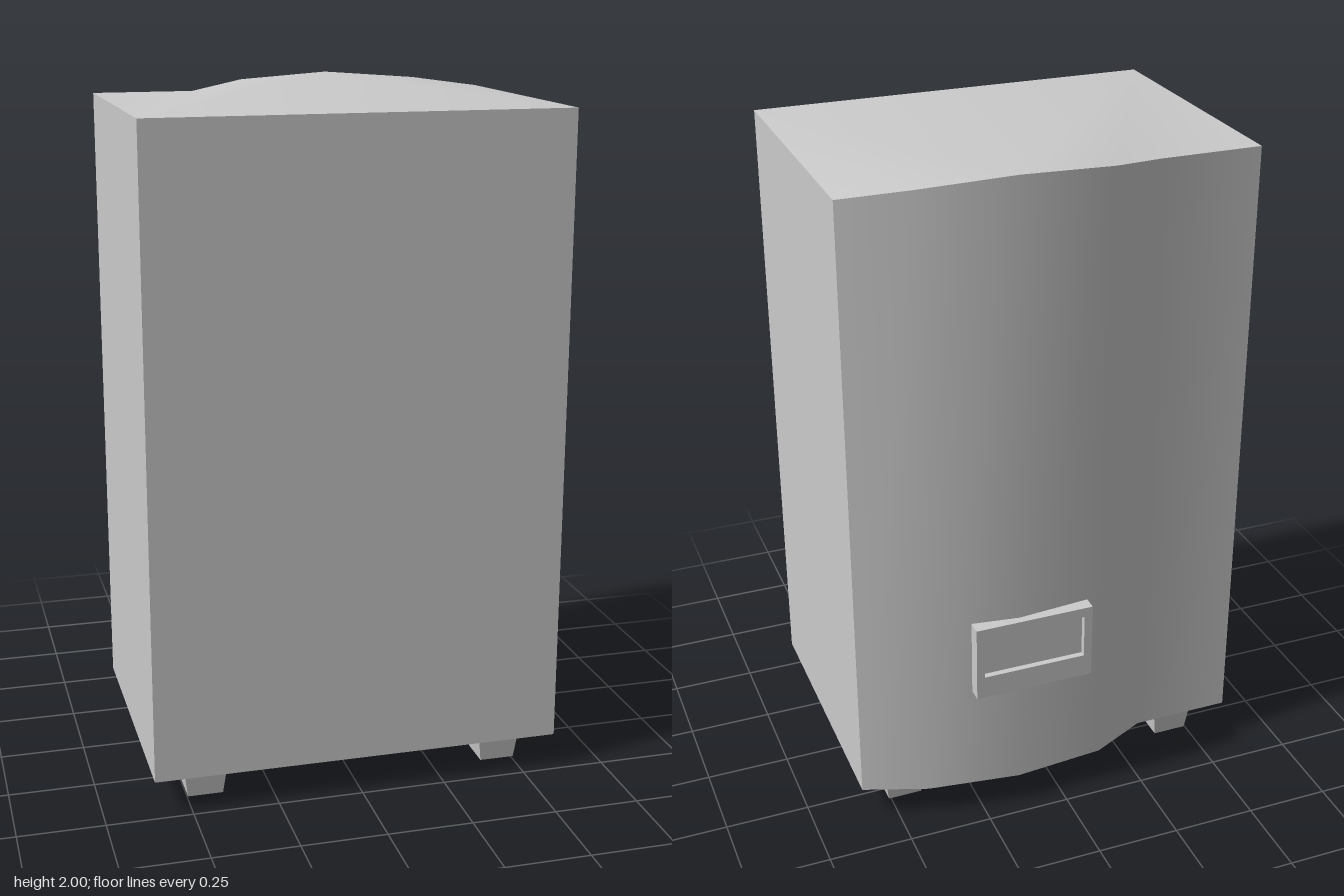
import * as THREE from 'three';
import { toCreasedNormals } from 'three/addons/utils/BufferGeometryUtils.js';

const BASE = 0.1;

// Cabinet outline seen from above, counterclockwise: x, z, top height
const OUTLINE = [
  [-0.605, 0.475, 1.957], [0.603, 0.475, 1.957], [0.603, -0.35, 1.957], [0.415, -0.417, 1.981],
  [0.14, -0.455, 2.0], [-0.135, -0.432, 1.983], [-0.305, -0.35, 1.957], [-0.605, -0.35, 1.957],
];

function cabinetGeometry() {
  const n = OUTLINE.length;
  const positions = [];
  OUTLINE.forEach(([x, z]) => positions.push(x, BASE, z));
  OUTLINE.forEach(([x, z, y]) => positions.push(x, y, z));
  const index = [];
  for (let i = 0; i < n; i++) {
    const j = (i + 1) % n;
    index.push(i, j, n + j, i, n + j, n + i); // wall
    if (i > 0 && i < n - 1) index.push(0, i + 1, i); // underside
  }
  // Top slopes up from the front edge to the bulging back edge
  const top = [[0, 1, 4], [1, 2, 3], [1, 3, 4], [0, 4, 5], [0, 5, 6], [0, 6, 7]];
  top.forEach((t) => index.push(...t.map((k) => k + n)));
  const geometry = new THREE.BufferGeometry();
  geometry.setAttribute('position', new THREE.Float32BufferAttribute(positions, 3));
  geometry.setIndex(index);
  return toCreasedNormals(geometry, 0.6);
}

function rectangle(PathType, x0, x1, y0, y1) {
  const path = new PathType();
  path.moveTo(x0, y0);
  path.lineTo(x1, y0);
  path.lineTo(x1, y1);
  path.lineTo(x0, y1);
  path.closePath();
  return path;
}

export function createModel() {
  const model = new THREE.Group();
  const grey = new THREE.MeshStandardMaterial({ color: 0xcccccc });
  const thin = new THREE.MeshStandardMaterial({
    color: 0xcccccc, flatShading: true, side: THREE.DoubleSide,
  });
  const add = (name, geometry, material, x = 0, y = 0, z = 0) => {
    const mesh = new THREE.Mesh(geometry, material);
    mesh.name = name;
    mesh.position.set(x, y, z);
    model.add(mesh);
  };

  add('cabinet', cabinetGeometry(), grey);

  // Terminal plate on the back: a frame around a shallow recess
  const frame = rectangle(THREE.Shape, -0.08, 0.28, 0.435, 0.67);
  frame.holes.push(rectangle(THREE.Path, -0.055, 0.255, 0.505, 0.64));
  add('terminalFrame',
    new THREE.ExtrudeGeometry(frame, { depth: 0.048, bevelEnabled: false }), grey, 0, 0, -0.478);
  add('terminalPanel', new THREE.BoxGeometry(0.31, 0.135, 0.03), grey, 0.1, 0.5725, -0.445);

  // Four tapered hollow feet
  const foot = new THREE.CylinderGeometry(0.065 * Math.SQRT2, 0.052 * Math.SQRT2, BASE, 4, 1, true);
  foot.rotateY(Math.PI / 4);
  for (const [side, x] of [['Left', 0.455], ['Right', -0.445]]) {
    for (const [end, z] of [['front', 0.34], ['back', -0.248]]) {
      add(`${end}${side}Foot`, foot, thin, x, BASE / 2, z);
    }
  }
  return model;
}
